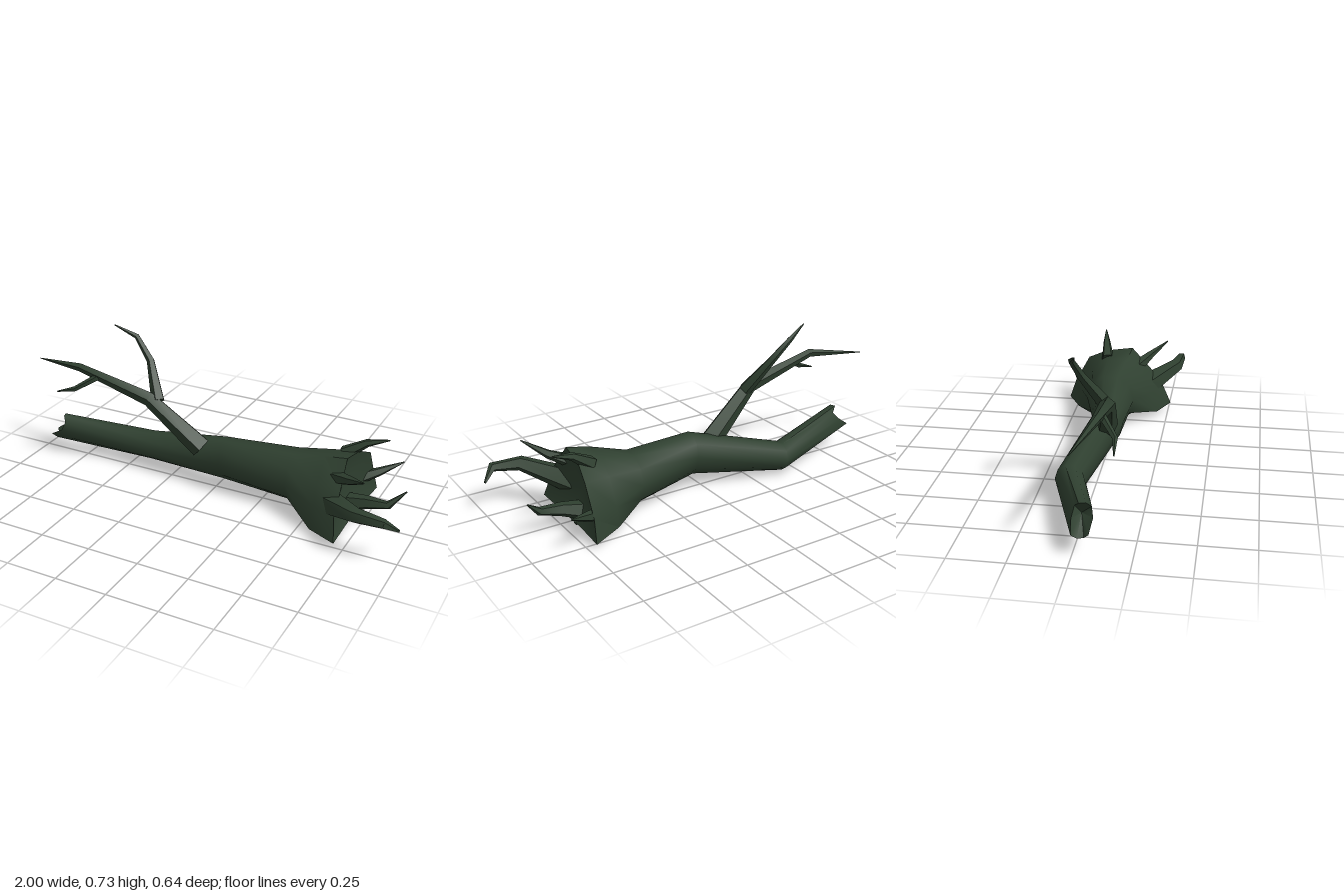
import * as THREE from 'three';
import { toCreasedNormals } from 'three/addons/utils/BufferGeometryUtils.js';

const V = (p) => new THREE.Vector3(...p);

// Skin a list of equal-length rings and close both ends with fans
function loft(rings, startCentre, endCentre) {
  const pos = [];
  const tri = (...pts) => pts.forEach((p) => pos.push(p.x, p.y, p.z));
  const n = rings[0].length;
  for (let j = 0; j < n; j++) {
    const k = (j + 1) % n;
    for (let i = 0; i < rings.length - 1; i++) {
      const a = rings[i], b = rings[i + 1];
      tri(a[j], b[j], a[k]);
      tri(a[k], b[j], b[k]);
    }
    tri(startCentre, rings[0][j], rings[0][k]);
    const last = rings[rings.length - 1];
    tri(endCentre, last[k], last[j]);
  }
  const g = new THREE.BufferGeometry();
  g.setAttribute('position', new THREE.Float32BufferAttribute(pos, 3));
  return toCreasedNormals(g, Math.PI / 3.2);
}

// Tapered limb through points [x, y, z, radius]
function limb(points, sides = 5) {
  const c = points.map((p) => V(p.slice(0, 3)));
  const rings = c.map((p, i) => {
    const t = c[Math.min(i + 1, c.length - 1)].clone().sub(c[Math.max(i - 1, 0)]).normalize();
    const u = t.clone().cross(V([0, 0, 1])).normalize();
    const v = u.clone().cross(t);
    return Array.from({ length: sides }, (_, j) => {
      const a = (j / sides) * Math.PI * 2, r = points[i][3];
      return p.clone().addScaledVector(u, r * Math.cos(a)).addScaledVector(v, r * Math.sin(a));
    });
  });
  return loft(rings, c[0], c[c.length - 1]);
}

export function createModel() {
  const group = new THREE.Group();
  const bark = new THREE.MeshStandardMaterial({ color: 0x2f4030 });
  bark.name = 'mossyBark';
  bark.side = THREE.DoubleSide;
  const add = (name, geometry) => {
    const m = new THREE.Mesh(geometry, bark);
    m.name = name;
    group.add(m);
  };

  // Trunk: oval sections, then a flat-bottomed flare at the root end
  const N = 10;
  const oval = (x, cy, cz, ry, rz) => Array.from({ length: N }, (_, j) => {
    const a = (j / N) * Math.PI * 2;
    return V([Array.isArray(x) ? x[j] : x, cy + ry * Math.sin(a), cz + rz * Math.cos(a)]);
  });
  const outline = (x, zy) => zy.map(([z, y], j) => V([Array.isArray(x) ? x[j] : x, y, z]));
  const brokenEnd = [-0.85, -0.83, -0.85, -0.86, -0.83, -0.87, -0.93, -0.91, -0.9, -0.92];
  const rimX = [0.69, 0.69, 0.68, 0.69, 0.71, 0.71, 0.72, 0.7, 0.7, 0.71];
  const trunk = [
    oval(brokenEnd, 0.152, 0.037, 0.07, 0.044),
    oval(-0.41, 0.09, -0.095, 0.074, 0.07),
    oval(0.05, 0.178, 0.01, 0.107, 0.072),
    oval(0.4, 0.158, -0.03, 0.128, 0.122),
    outline(0.57, [[0.16, 0.13], [0.13, 0.23], [0.04, 0.325], [-0.07, 0.31], [-0.15, 0.25],
      [-0.21, 0.13], [-0.225, 0.035], [-0.08, 0.016], [0.07, 0.016], [0.2, 0.03]]),
    outline(rimX, [[0.22, 0.13], [0.15, 0.23], [0.05, 0.345], [-0.09, 0.32], [-0.19, 0.27],
      [-0.265, 0.13], [-0.3, 0.028], [-0.1, 0.017], [0.08, 0.017], [0.26, 0.028]]),
  ];
  add('trunk', loft(trunk, V([-0.8, 0.145, 0.025]), V([0.64, 0.16, -0.03])));

  // Branches
  add('mainBranch', limb([[-0.07, 0.21, 0.02, 0.055], [-0.33, 0.43, 0.062, 0.037],
    [-0.71, 0.525, 0.075, 0.021], [-1, 0.495, 0.01, 0.002]]));
  add('upperBranch', limb([[-0.29, 0.42, 0.045, 0.034], [-0.38, 0.58, -0.045, 0.02],
    [-0.47, 0.68, -0.072, 0.014], [-0.575, 0.732, -0.04, 0.003]]));
  add('sideTwig', limb([[-0.6, 0.5, 0.075, 0.018], [-0.7, 0.44, 0.148, 0.013],
    [-0.8, 0.41, 0.157, 0.003]]));

  // Roots
  add('largeRoot', limb([[0.6, 0.13, 0.09, 0.068], [0.81, 0.21, 0.28, 0.036],
    [0.94, 0.215, 0.297, 0.023], [0.995, 0.17, 0.25, 0.006]]));
  add('lowerRoot', limb([[0.63, 0.06, -0.045, 0.05], [0.76, 0.095, -0.035, 0.033],
    [0.86, 0.11, -0.03, 0.02], [0.93, 0.178, -0.07, 0.003]]));
  add('topRoot', limb([[0.62, 0.3, -0.075, 0.035], [0.72, 0.365, -0.095, 0.019],
    [0.82, 0.394, -0.112, 0.003]]));
  add('frontSpikeRoot', limb([[0.64, 0.255, 0.08, 0.034], [0.73, 0.29, 0.14, 0.021],
    [0.82, 0.345, 0.228, 0.003]]));
  add('backSpikeRoot', limb([[0.62, 0.1, -0.18, 0.037], [0.74, 0.145, -0.25, 0.022],
    [0.84, 0.19, -0.316, 0.003]]));
  // Small stub reaching the ground under the rim
  add('groundRoot', limb([[0.6, 0.06, -0.04, 0.04], [0.7, 0.012, -0.05, 0.012]]));
  return group;
}
